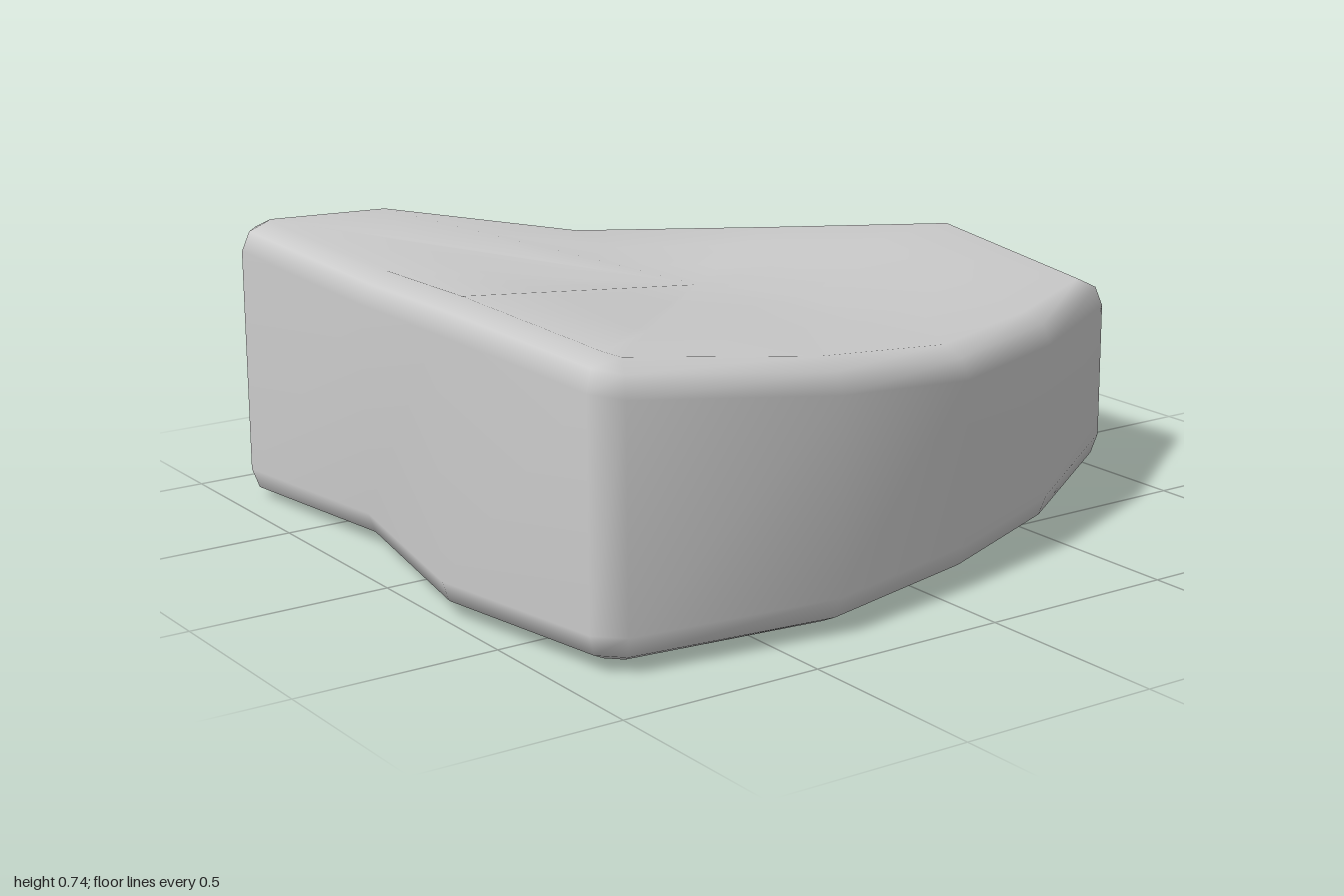
import * as THREE from 'three';

// Outline corners, clockwise seen from above: x, z, top height, bottom height
const OUTLINE = [
  [-0.94, -0.82, 0.72, 0.005], [-0.89, -0.875, 0.72, 0], [-0.54, -0.85, 0.715, 0.01],
  [-0.05, -0.69, 0.625, 0.02], [0.45, -0.5, 0.605, 0.02], [0.91, -0.26, 0.6, 0.02],
  [0.995, 0.25, 0.52, 0.025], [0.53, 0.57, 0.55, 0.02], [0.12, 0.75, 0.565, 0.02],
  [-0.34, 0.87, 0.63, 0.02], [-0.86, 0.81, 0.69, 0.02], [-0.92, 0.75, 0.7, 0.02],
  [-1, 0.26, 0.74, 0.02], [-0.89, -0.29, 0.68, 0.015],
];
const CENTRE = { x: -0.12, z: 0, top: 0.605, bottom: 0.02 };

// Unit direction pointing inwards at each corner
function inwardNormals() {
  const n = OUTLINE.length;
  const edge = (i) => {
    const a = OUTLINE[i % n], b = OUTLINE[(i + 1) % n];
    return new THREE.Vector2(a[1] - b[1], b[0] - a[0]).normalize();
  };
  return OUTLINE.map((_, i) => edge(i + n - 1).add(edge(i)).normalize());
}

function stoneGeometry() {
  const n = OUTLINE.length;
  const normals = inwardNormals();
  const positions = [], index = [];

  // One ring: inset from the outline, shrunk towards the centre, at a height above or below the rim
  const ring = (inset, shrink, fromTop, offset) => OUTLINE.forEach(([x, z, top, bottom], i) => {
    const y = fromTop ? THREE.MathUtils.lerp(top, CENTRE.top, shrink)
      : THREE.MathUtils.lerp(bottom, CENTRE.bottom, shrink);
    positions.push(
      THREE.MathUtils.lerp(x + normals[i].x * inset, CENTRE.x, shrink),
      y + offset,
      THREE.MathUtils.lerp(z + normals[i].y * inset, CENTRE.z, shrink));
  });

  // Underside, lower bevel, wall, upper bevel, dished top
  const rings = [
    [0.06, 0.5, false, 0], [0.06, 0, false, 0], [0.018, 0, false, 0.02], [0, 0, false, 0.07],
    [0, 0, true, -0.075], [0.02, 0, true, -0.025], [0.07, 0, true, 0],
    [0.07, 0.33, true, 0], [0.07, 0.66, true, 0],
  ];
  rings.forEach((r) => ring(...r));

  for (let r = 0; r < rings.length - 1; r++) {
    for (let i = 0; i < n; i++) {
      const j = (i + 1) % n;
      const a = r * n + i, b = r * n + j, c = a + n, d = b + n;
      index.push(a, c, b, b, c, d);
    }
  }

  // Close the underside and the top at the centre
  const low = positions.length / 3, high = low + 1;
  positions.push(CENTRE.x, CENTRE.bottom, CENTRE.z, CENTRE.x, CENTRE.top, CENTRE.z);
  const last = (rings.length - 1) * n;
  for (let i = 0; i < n; i++) {
    const j = (i + 1) % n;
    index.push(low, i, j, high, last + j, last + i);
  }

  const geometry = new THREE.BufferGeometry();
  geometry.setAttribute('position', new THREE.Float32BufferAttribute(positions, 3));
  geometry.setIndex(index);
  geometry.computeVertexNormals();
  return geometry;
}

export function createModel() {
  const group = new THREE.Group();
  group.name = 'stoneSlab';
  const stone = new THREE.Mesh(stoneGeometry(), new THREE.MeshStandardMaterial({ color: 0xcccccc }));
  stone.name = 'stone';
  group.add(stone);
  return group;
}
